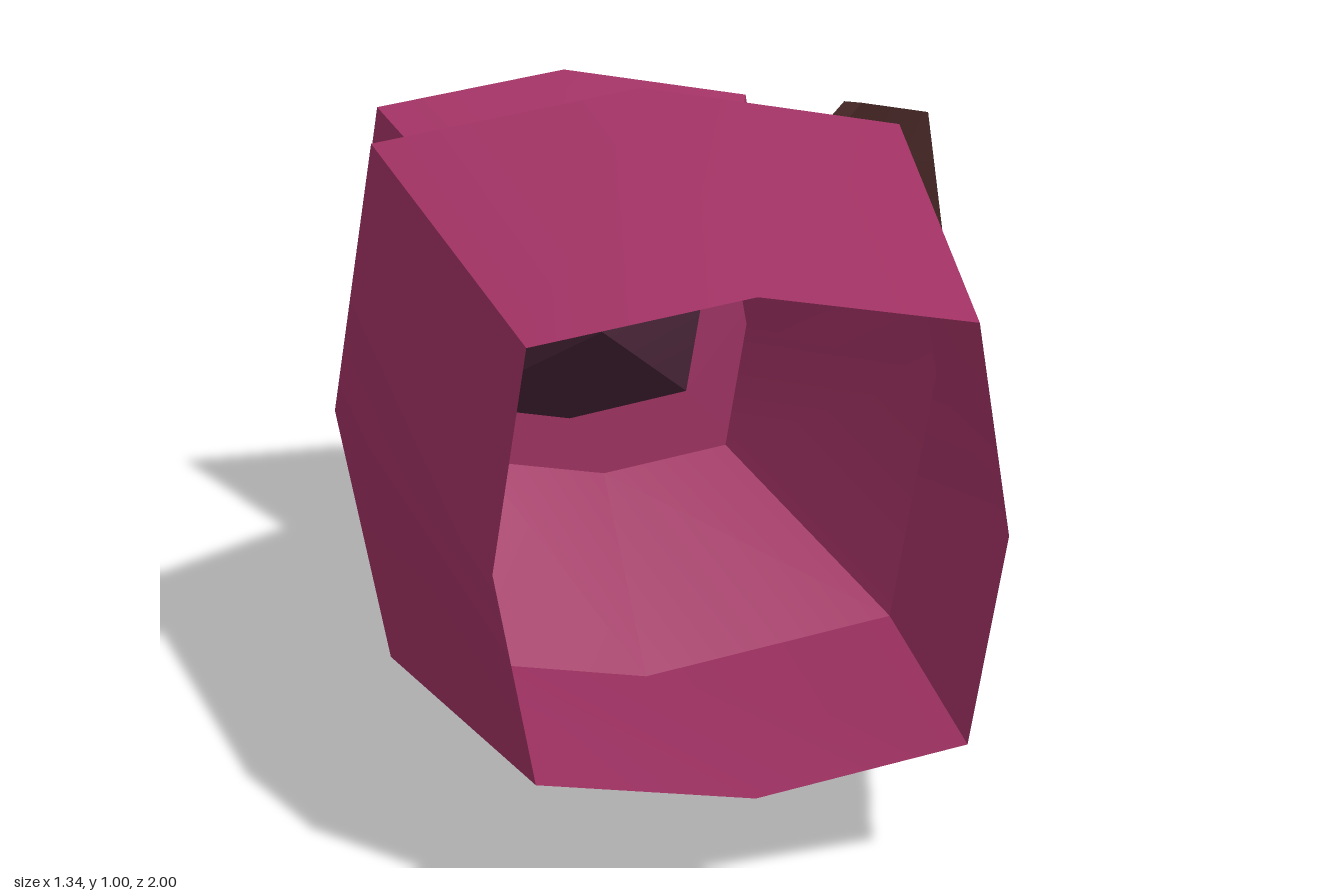
import * as THREE from 'three';
import { toCreasedNormals } from 'three/addons/utils/BufferGeometryUtils.js';

const mat = (name, color, side = THREE.FrontSide) => {
  const m = new THREE.MeshStandardMaterial({ color, side });
  m.name = name;
  return m;
};

// Eight points counter-clockwise: a rectangle whose sides bulge at the middle.
// mid / corner are half sizes; dz shifts [side middles, corners, top and bottom middles].
function ring(z, [mx, my], [cx, cy], dz = [0, 0, 0], x0 = 0) {
  return [[mx, 0, 0], [cx, cy, 1], [0, my, 2], [-cx, cy, 1], [-mx, 0, 0], [-cx, -cy, 1], [0, -my, 2], [cx, -cy, 1]]
    .map(([x, y, k]) => [x0 + x, y, z + dz[k]]);
}
const point = (z, x = 0) => Array(8).fill([x, 0, z]);

// Skin a list of rings, ordered back to front
function loft(rings, crease = 0.5) {
  const pos = [];
  const tri = (a, b, c) => {
    if (a === b || b === c || a === c) return;
    pos.push(...a, ...b, ...c);
  };
  for (let r = 0; r < rings.length - 1; r++) {
    for (let i = 0; i < 8; i++) {
      const j = (i + 1) % 8;
      const [a, b, c, d] = [rings[r][i], rings[r][j], rings[r + 1][j], rings[r + 1][i]];
      tri(a, b, c);
      tri(a, c, d);
    }
  }
  const g = new THREE.BufferGeometry();
  g.setAttribute('position', new THREE.Float32BufferAttribute(pos, 3));
  return toCreasedNormals(g, crease);
}

export function createModel() {
  const berry = mat('berry shell', 0xa03263, THREE.DoubleSide);
  const plum = mat('dark plum lining', 0x4a2639, THREE.DoubleSide);
  const brown = mat('dark brown', 0x432524);
  const gold = mat('dull gold', 0x8f7028);

  const model = new THREE.Group();
  const add = (parent, name, geometry, material) => {
    const m = new THREE.Mesh(geometry, material);
    m.name = name;
    parent.add(m);
    return m;
  };

  // Hollow shell: back frame, flared back, narrow neck, wide belly, open mouth
  const body = new THREE.Group();
  body.name = 'body';
  body.position.set(-0.172, 0.502, 0);
  model.add(body);
  const section = (z, mid, corner) => ring(z, [mid, mid], [corner, corner]);
  const hole = section(-0.6, 0.277, 0.235);
  add(body, 'shell', loft([
    hole,
    section(-0.6, 0.415, 0.355),
    section(-0.2, 0.265, 0.226),
    section(0.2, 0.498, 0.425),
    section(1, 0.348, 0.298),
  ]), berry);

  // Pointed recess sunk into the back
  add(body, 'backRecess', loft([hole, point(-0.2)]), plum);

  // Bent arm, drawn from above and given its height
  const outline = [[-0.215, 0.34], [-0.13, 0.34], [-0.13, 0.715], [0.14, 0.9], [0.4, 0.745],
    [0.44, 0.82], [0.14, 1], [-0.215, 0.76]];
  const arm = new THREE.ExtrudeGeometry(
    new THREE.Shape(outline.map(([x, y]) => new THREE.Vector2(x, y))),
    { depth: 0.15, bevelEnabled: false });
  arm.rotateX(-Math.PI / 2);
  add(model, 'arm', arm, brown).position.y = 0.428;

  // Dished end plate, turned to face forward and sideways
  const head = new THREE.Group();
  head.name = 'armHead';
  head.position.set(0.48, 0.502, -0.69);
  head.rotation.y = 0.82;
  model.add(head);
  const rim = (z) => ring(z, [0.25, 0.312], [0.226, 0.265], [0.03, 0, -0.04]);
  add(head, 'dishedPlate', loft([point(-0.1), rim(-0.04), rim(0), point(-0.055)]), brown);

  // Faceted stud in the middle of the plate
  add(head, 'stud', loft([
    ring(-0.06, [0.115, 0.145], [0.102, 0.125], undefined, 0.01),
    ring(0, [0.115, 0.145], [0.102, 0.125], undefined, 0.01),
    ring(0.045, [0.1, 0.13], [0.09, 0.112], undefined, 0.015),
    point(0.052, 0.015),
  ]), gold);

  return model;
}
